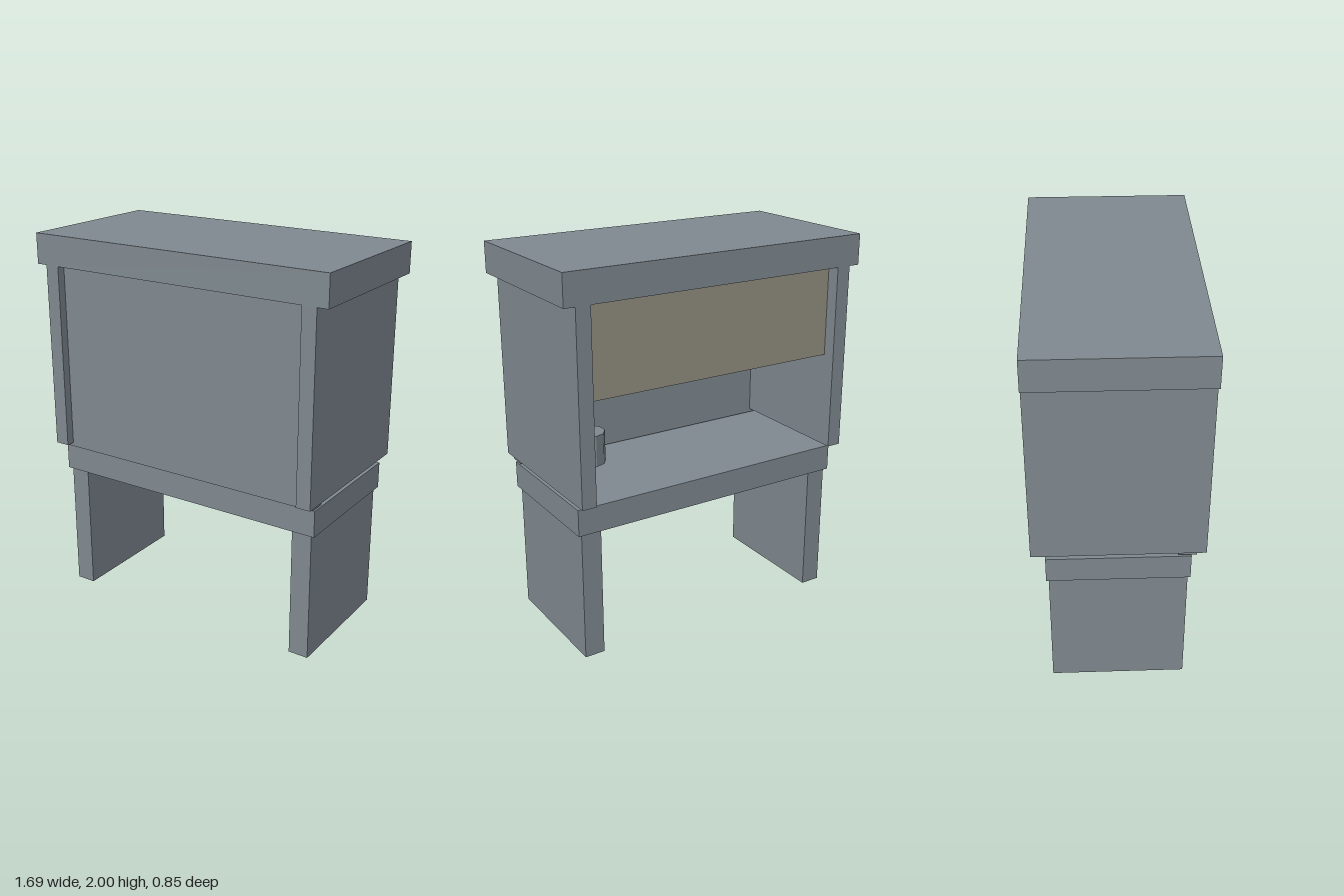
import * as THREE from 'three';

export function createModel() {
  const model = new THREE.Group();
  model.name = 'booth';

  const grey = new THREE.MeshStandardMaterial({ color: 0x808a91 });
  grey.name = 'grey';
  const tan = new THREE.MeshStandardMaterial({ color: 0x938f81 });
  tan.name = 'tan';
  const facetedGrey = grey.clone();
  facetedGrey.flatShading = true;

  // Box given by its lower and upper limits on each axis
  function box(name, [x0, x1], [y0, y1], [z0, z1], material = grey) {
    const mesh = new THREE.Mesh(new THREE.BoxGeometry(x1 - x0, y1 - y0, z1 - z0), material);
    mesh.position.set((x0 + x1) / 2, (y0 + y1) / 2, (z0 + z1) / 2);
    mesh.name = name;
    model.add(mesh);
  }

  // Overhanging roof and bench top
  box('roof', [-0.845, 0.845], [1.84, 2], [-0.425, 0.425]);
  box('benchTop', [-0.775, 0.775], [0.69, 0.83], [-0.355, 0.355]);

  // Mirrored side walls and slab legs
  for (const [side, s] of [['left', 1], ['right', -1]]) {
    const span = (a, b) => (s > 0 ? [a, b] : [-b, -a]);
    box(side + 'Wall', span(0.71, 0.787), [0.86, 1.84], [-0.425, 0.425]);
    box(side + 'Leg', span(0.648, 0.755), [0, 0.69], [-0.343, 0.343]);
  }

  // Closed front and half-height rear board
  box('frontPanel', [-0.775, 0.775], [0.84, 1.84], [0.29, 0.38]);
  box('rearBoard', [-0.71, 0.71], [1.362, 1.84], [-0.355, -0.315], tan);

  // Faceted drum standing on the bench
  const drum = new THREE.Mesh(new THREE.CylinderGeometry(0.09, 0.09, 0.17, 10), facetedGrey);
  drum.position.set(0.445, 0.915, 0.155);
  drum.name = 'drum';
  model.add(drum);

  return model;
}
